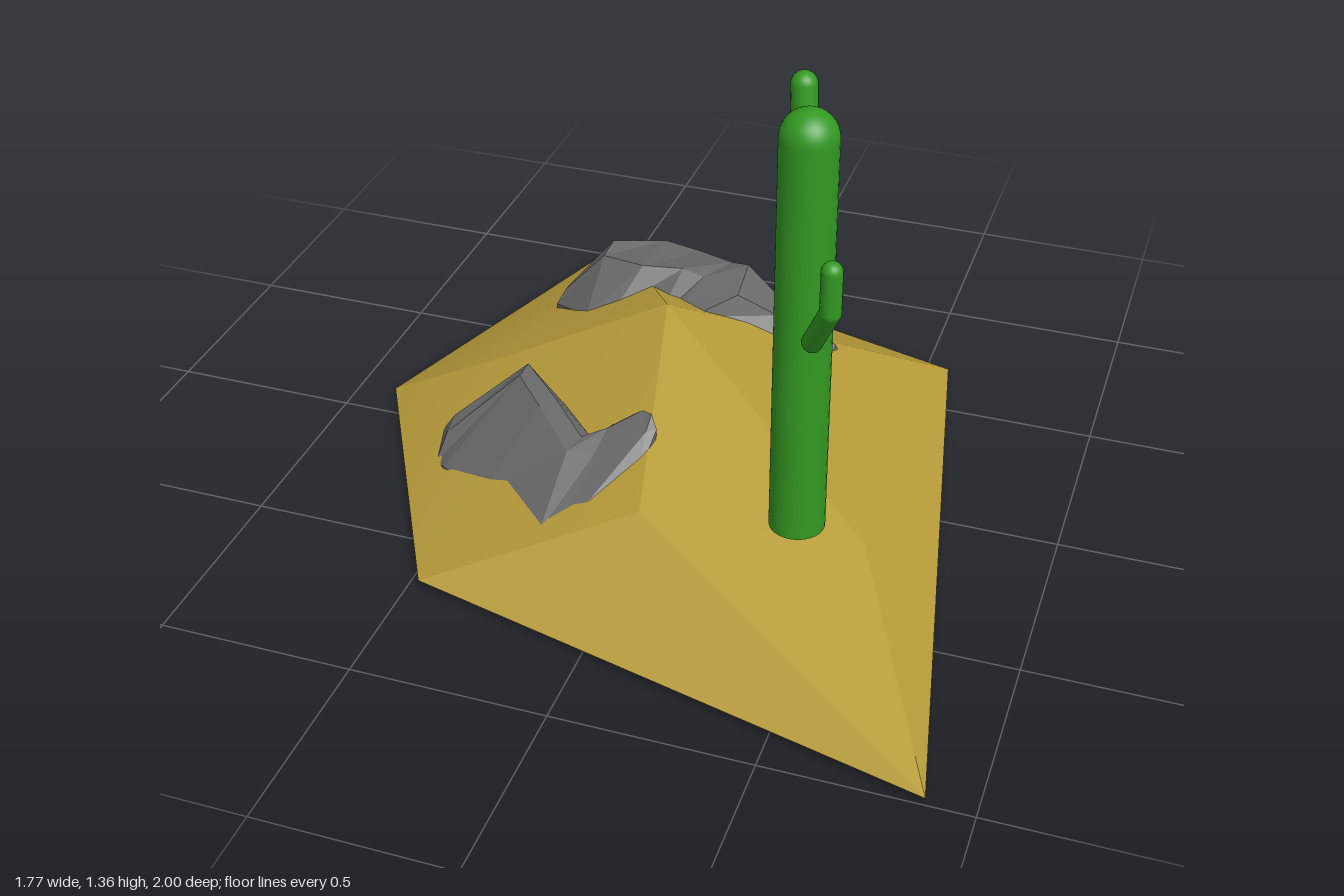
import * as THREE from 'three';
import { toCreasedNormals } from 'three/addons/utils/BufferGeometryUtils.js';

const V = (x, y, z) => new THREE.Vector3(x, y, z);
const sandMat = new THREE.MeshStandardMaterial({ color: 0xb89c3a, side: THREE.DoubleSide });
const rockMat = new THREE.MeshStandardMaterial({ color: 0x6a6a6a, flatShading: true });
const cactusMat = new THREE.MeshStandardMaterial({ color: 0x339922 });

function mesh(name, geometry, material) {
  const m = new THREE.Mesh(geometry, material);
  m.name = name;
  return m;
}

function indexed(positions, index) {
  const g = new THREE.BufferGeometry();
  g.setAttribute('position', new THREE.Float32BufferAttribute(positions, 3));
  g.setIndex(index);
  return g;
}

// Open sand mound: peak, five rim corners and four shoulder points
function sandMound() {
  const points = [
    [-0.11, 0.395, -0.18],
    [-0.585, 0.015, -1], [0.565, 0.015, -0.68], [0.885, 0.015, 0.995], [-0.475, 0.015, 0.665], [-0.89, 0.015, -0.09],
    [-0.37, 0.235, -0.62], [0.58, 0.175, 0.37], [0.05, 0.235, 0.5], [-0.6, 0.17, -0.08],
  ];
  const faces = [
    [0, 6, 9], [0, 9, 4], [0, 4, 8], [0, 8, 7], [0, 7, 2], [0, 2, 6],
    [6, 1, 5], [6, 5, 9], [9, 5, 4], [8, 4, 3], [8, 3, 7], [7, 3, 2], [2, 1, 6],
  ];
  return mesh('sandMound', toCreasedNormals(indexed(points.flat(), faces.flat()), 0.3), sandMat);
}

// Rock lofted from sections: back foot, back crest, front crest, front foot;
// the feet are repeated lower down so the rock is sunk into the sand
function rock(name, sections, sink) {
  const positions = [], index = [], n = 6;
  for (const [back, crestB, crestF, front] of sections) {
    const low = ([x, y, z]) => [x, y - sink, z];
    positions.push(...[back, crestB, crestF, front, low(front), low(back)].flat());
  }
  const last = (sections.length - 1) * n;
  for (let s = 0; s < last; s += n) {
    for (let j = 0; j < n; j++) {
      const a = s + j, c = s + (j + 1) % n;
      index.push(a, c, a + n, a + n, c, c + n);
    }
  }
  for (let k = 1; k < n - 1; k++) index.push(0, k + 1, k, last, last + k, last + k + 1);
  const g = indexed(positions, index).toNonIndexed();
  g.computeVertexNormals();
  return mesh(name, g, rockMat);
}

// Rounded limb through a few points, with a ball at each joint and tip
function limb(name, points, radius) {
  const group = new THREE.Group();
  group.name = name;
  points.forEach((p, i) => {
    const ball = mesh(name + 'Joint', new THREE.SphereGeometry(radius, 20, 14), cactusMat);
    ball.position.copy(p);
    group.add(ball);
    if (i === 0) return;
    const dir = p.clone().sub(points[i - 1]);
    const tube = mesh(name + 'Segment', new THREE.CylinderGeometry(radius, radius, dir.length(), 20, 1, true), cactusMat);
    tube.position.copy(p).addScaledVector(dir, -0.5);
    tube.quaternion.setFromUnitVectors(V(0, 1, 0), dir.normalize());
    group.add(tube);
  });
  return group;
}

function cactus() {
  const group = new THREE.Group();
  group.name = 'cactus';
  const r = 0.068;
  const trunk = mesh('cactusTrunk', new THREE.CylinderGeometry(r, r, 1.037, 32), cactusMat);
  trunk.position.set(0.428, 0.7685, 0.437);
  const dome = mesh('cactusDome', new THREE.SphereGeometry(r, 32, 12, 0, Math.PI * 2, 0, Math.PI / 2), cactusMat);
  dome.position.set(0.428, 1.287, 0.437);
  group.add(
    trunk, dome,
    limb('backArm', [V(0.415, 0.93, 0.395), V(0.372, 1.11, 0.25), V(0.355, 1.303, 0.22)], 0.032),
    limb('frontArm', [V(0.467, 0.81, 0.5), V(0.525, 0.945, 0.577), V(0.525, 1.047, 0.577)], 0.025),
  );
  return group;
}

export function createModel() {
  const model = new THREE.Group();
  model.name = 'desertScene';

  const frontRock = rock('frontRock', [
    [[-0.64, 0.08, 0.13], [-0.6, 0.14, 0.14], [-0.6, 0.12, 0.19], [-0.61, 0.06, 0.25]],
    [[-0.46, 0.2, 0.035], [-0.42, 0.285, 0.05], [-0.42, 0.285, 0.11], [-0.57, 0.08, 0.29]],
    [[-0.28, 0.24, 0.14], [-0.3, 0.285, 0.17], [-0.32, 0.28, 0.22], [-0.42, 0.1, 0.385]],
    [[-0.17, 0.24, 0.25], [-0.18, 0.265, 0.29], [-0.2, 0.25, 0.34], [-0.2, 0.14, 0.535]],
    [[-0.15, 0.24, 0.21], [-0.12, 0.285, 0.26], [-0.13, 0.25, 0.33], [-0.14, 0.15, 0.54]],
    [[-0.1, 0.27, 0.185], [-0.04, 0.33, 0.22], [-0.01, 0.31, 0.28], [0, 0.24, 0.37]],
    [[-0.03, 0.28, 0.21], [-0.01, 0.335, 0.235], [0.012, 0.31, 0.26], [0.015, 0.26, 0.28]],
  ], 0.06);

  const backRock = rock('backRock', [
    [[-0.51, 0.2, -0.42], [-0.49, 0.24, -0.42], [-0.49, 0.24, -0.4], [-0.51, 0.2, -0.38]],
    [[-0.31, 0.22, -0.7], [-0.38, 0.365, -0.5], [-0.38, 0.36, -0.42], [-0.38, 0.25, -0.275]],
    [[-0.24, 0.21, -0.705], [-0.25, 0.345, -0.58], [-0.25, 0.375, -0.38], [-0.3, 0.28, -0.29]],
    [[-0.16, 0.19, -0.7], [-0.14, 0.335, -0.57], [-0.14, 0.375, -0.4], [-0.16, 0.3, -0.24]],
    [[-0.03, 0.2, -0.6], [-0.03, 0.36, -0.5], [-0.08, 0.36, -0.4], [-0.11, 0.33, -0.3]],
    [[0.02, 0.2, -0.52], [0.03, 0.385, -0.46], [0.04, 0.365, -0.33], [-0.06, 0.33, -0.24]],
    [[0.14, 0.18, -0.52], [0.12, 0.3, -0.46], [0.14, 0.29, -0.38], [0.17, 0.22, -0.3]],
    [[0.3, 0.16, -0.45], [0.29, 0.19, -0.44], [0.29, 0.18, -0.43], [0.3, 0.15, -0.42]],
  ], 0.04);

  model.add(sandMound(), frontRock, backRock, cactus());
  return model;
}
